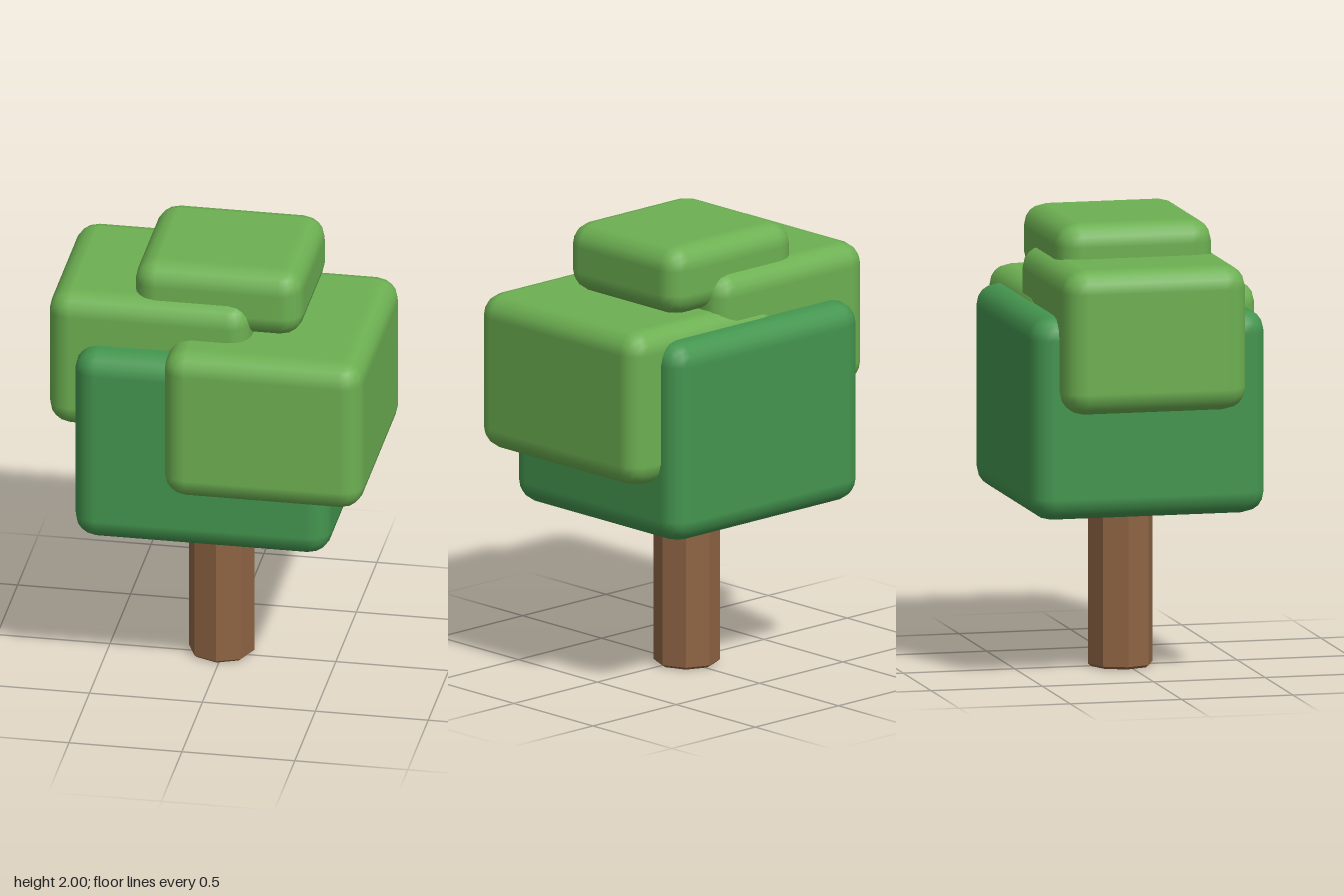
import * as THREE from 'three';
import { RoundedBoxGeometry } from 'three/addons/geometries/RoundedBoxGeometry.js';

export function createModel() {
  const group = new THREE.Group();
  group.name = 'tree';

  const material = (name, color, flatShading = false) => {
    const m = new THREE.MeshStandardMaterial({ color, flatShading });
    m.name = name;
    return m;
  };
  const lightLeaf = material('light leaf green', 0x6db052);
  const darkLeaf = material('dark leaf green', 0x44954f);
  const bark = material('bark brown', 0x8e6443, true);

  const add = (name, geometry, mat, x, y, z) => {
    const mesh = new THREE.Mesh(geometry, mat);
    mesh.name = name;
    mesh.position.set(x, y, z);
    group.add(mesh);
    return mesh;
  };

  // Rounded foliage block given by its two opposite corners
  const foliage = (name, mat, min, max) => {
    const size = max.map((v, i) => v - min[i]);
    const mid = max.map((v, i) => (v + min[i]) / 2);
    add(name, new RoundedBoxGeometry(...size, 2, 0.1), mat, ...mid);
  };
  foliage('lowerFoliage', darkLeaf, [-0.58, 0.73, -0.557], [0.555, 1.63, 0.498]);
  foliage('leftFoliage', lightLeaf, [-0.175, 0.99, -0.46], [0.71, 1.69, 0.557]);
  foliage('rightFoliage', lightLeaf, [-0.715, 1.21, -0.443], [0.18, 1.85, 0.38]);
  foliage('topFoliage', lightLeaf, [-0.345, 1.69, -0.382], [0.4, 2, 0.32]);

  // Eight-sided trunk with a small chamfer at the foot
  const profile = [[0, 0], [0.13, 0], [0.145, 0.012], [0.145, 0.9], [0, 0.9]]
    .map(([r, y]) => new THREE.Vector2(r, y));
  add('trunk', new THREE.LatheGeometry(profile, 8), bark, -0.01, 0, -0.028);

  // Branch stubs that just emerge below the foliage
  for (const side of [-1, 1]) {
    const branch = add(side > 0 ? 'leftBranch' : 'rightBranch',
      new THREE.CylinderGeometry(0.055, 0.055, 0.3, 8), bark,
      -0.01 + side * 0.165, 0.83, -0.015);
    branch.rotation.z = -side * Math.PI / 4;
  }
  return group;
}
